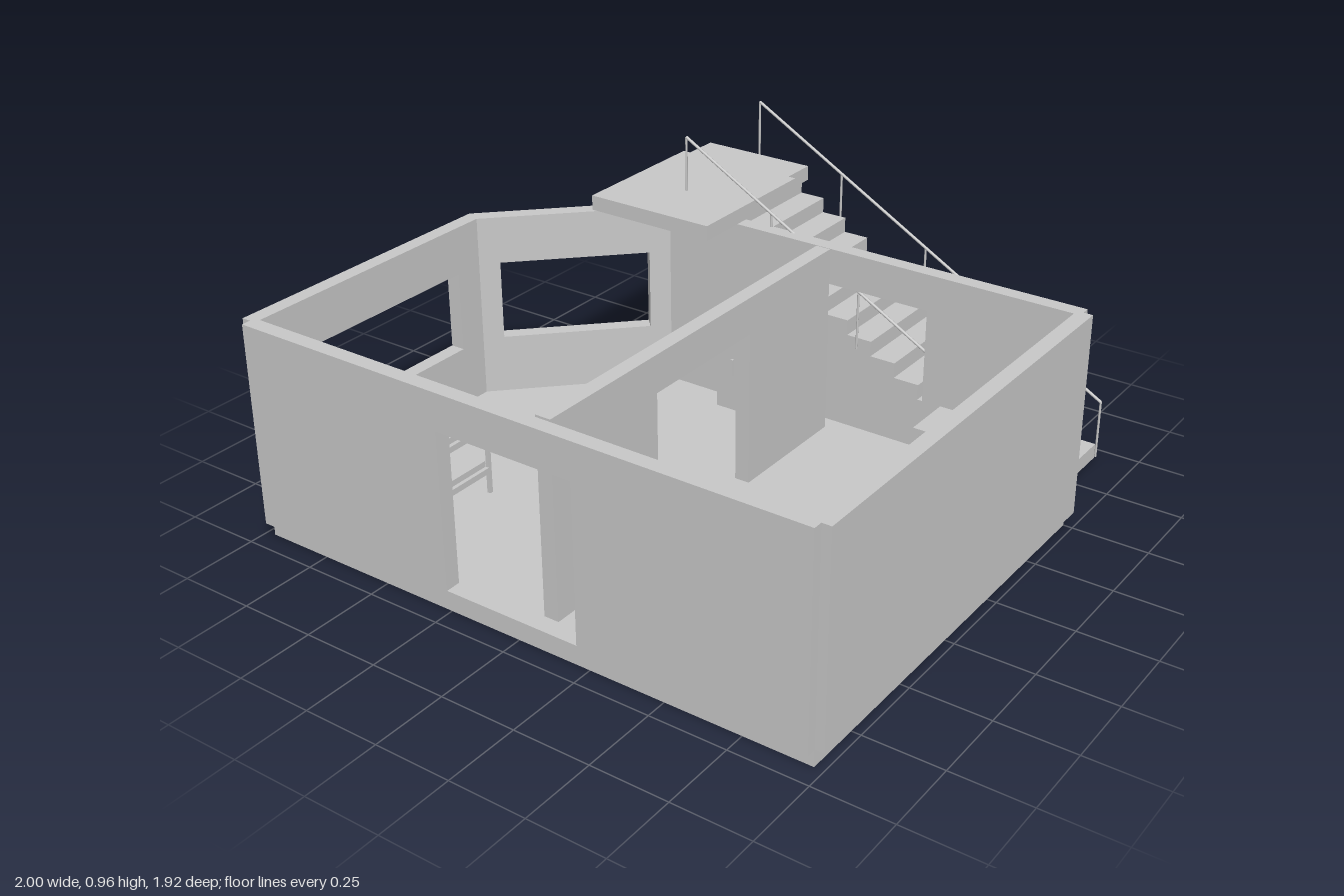
import * as THREE from 'three';

const grey = new THREE.MeshStandardMaterial({ color: 0xc8c8c8 });
grey.name = 'plainGrey';

const FLOOR = 0.09, TOP = 0.72;

export function createModel() {
  const model = new THREE.Group();

  const add = (name, geo, parent = model) => {
    const m = new THREE.Mesh(geo, grey);
    m.name = name;
    parent.add(m);
    return m;
  };
  const group = (name) => {
    const g = new THREE.Group();
    g.name = name;
    model.add(g);
    return g;
  };
  // box given by its min and max corners
  const box = (name, x0, x1, y0, y1, z0, z1, parent) => {
    const m = add(name, new THREE.BoxGeometry(x1 - x0, y1 - y0, z1 - z0), parent);
    m.position.set((x0 + x1) / 2, (y0 + y1) / 2, (z0 + z1) / 2);
  };
  // thin round bar between two points
  const rod = (name, a, b, r, parent) => {
    const p = new THREE.Vector3(...a), q = new THREE.Vector3(...b);
    const m = add(name, new THREE.CylinderGeometry(r, r, p.distanceTo(q), 8), parent);
    m.position.copy(p).add(q).multiplyScalar(0.5);
    m.quaternion.setFromUnitVectors(new THREE.Vector3(0, 1, 0), q.sub(p).normalize());
  };
  const polygon = (pts) => new THREE.Shape(pts.map(([x, y]) => new THREE.Vector2(x, y)));
  const extrude = (shape, depth) => new THREE.ExtrudeGeometry(shape, { depth, bevelEnabled: false });

  // wall from one plan point to another, holes as [u0, u1, y0, y1]
  const wall = (name, [x0, z0], [x1, z1], holes = [], bottom = 0.055) => {
    const len = Math.hypot(x1 - x0, z1 - z0);
    const s = polygon([[0, bottom], [len, bottom], [len, TOP], [0, TOP]]);
    for (const [a, b, c, d] of holes) s.holes.push(polygon([[a, c], [a, d], [b, d], [b, c]]));
    const m = add(name, extrude(s, 0.05));
    m.position.set(x0, 0, z0);
    m.rotation.y = -Math.atan2(z1 - z0, x1 - x0);
  };
  // flat slab from a plan outline
  const slab = (name, plan, y0, y1) => {
    const m = add(name, extrude(polygon(plan.map(([x, z]) => [x, -z])), y1 - y0));
    m.rotation.x = -Math.PI / 2;
    m.position.y = y0;
  };

  // foundation and floor
  slab('foundation', [[-0.97, 0.93], [0.97, 0.93], [0.97, -0.5], [-0.51, -0.5], [-0.97, -0.04]], 0, 0.056);
  slab('floor', [[-0.96, 0.92], [0.96, 0.92], [0.96, -0.49], [-0.5, -0.49], [-0.96, -0.03]], 0.056, FLOOR);

  // walls with doors and windows
  wall('frontWall', [-0.97, 0.91], [0.97, 0.91], [[0.735, 1.2, FLOOR, 0.6]]);
  wall('backWall', [-0.52, -0.528], [0.97, -0.528], [[0.52, 0.99, FLOOR, 0.6]]);
  wall('rightSideWall', [1, -0.5], [1, 0.93]);
  wall('leftSideWall', [-0.95, -0.05], [-0.95, 0.93], [[0.12, 0.93, 0.29, 0.56]]);
  wall('cornerWall', [-1, -0.05], [-0.52, -0.53], [[0.09, 0.585, 0.29, 0.56]]);
  wall('partitionWall', [0.12, -0.475], [0.12, 0.9], [[0.445, 0.91, FLOOR, 0.6]], 0.08);

  // solid outside stair
  const steps = 14, rise = TOP / steps, run = 0.0885, startX = 0.867, endX = -0.465;
  const profile = [[endX, 0], [startX, 0]];
  for (let i = 0; i < steps; i++) {
    const x = startX - i * run;
    profile.push([x, (i + 1) * rise]);
    profile.push([i === steps - 1 ? endX : x - run, (i + 1) * rise]);
  }
  add('stair', extrude(polygon(profile), 0.41)).position.z = -0.942;

  // landing and its post
  slab('landing', [[-0.692, -0.308], [-0.233, -0.308], [-0.233, -0.82], [-0.26, -0.82],
    [-0.26, -0.942], [-0.665, -0.942], [-0.665, -0.82], [-0.692, -0.82]], TOP, 0.77);
  box('landingPost', -0.68, -0.635, 0, TOP, -0.77, -0.725);
  box('postCap', -0.69, -0.62, 0.685, TOP, -0.785, -0.71);

  // stair railings
  for (const z of [-0.522, -0.952]) {
    const rail = group(z > -0.6 ? 'innerRailing' : 'outerRailing');
    const railY = (x) => 0.955 - 0.566 * (x + 0.465);
    rod('handrail', [-0.465, railY(-0.465), z], [0.868, railY(0.868), z], 0.005, rail);
    for (let i = 0; i < 5; i++) {
      const x = -0.465 + i * 0.333;
      rod('railPost', [x, Math.max(0, railY(x) - 0.2), z], [x, railY(x), z], 0.004, rail);
    }
  }

  // wardrobe against the back wall
  const wardrobe = group('wardrobe');
  box('wardrobeBody', -0.255, -0.06, FLOOR, 0.4, -0.48, -0.405, wardrobe);
  for (const s of [-1, 1]) {
    const c = -0.158 + s * 0.05, h = -0.158 + s * 0.033;
    box('wardrobeDoor', c - 0.048, c + 0.048, FLOOR + 0.002, 0.4, -0.405, -0.397, wardrobe);
    box('wardrobeHandle', h - 0.004, h + 0.004, 0.22, 0.28, -0.397, -0.388, wardrobe);
  }

  // low bunk bed
  const bed = group('bunkBed');
  box('headBoard', -0.705, -0.492, FLOOR, 0.375, 0.89, 0.906, bed);
  for (const x of [-0.705, -0.504]) box('bedPost', x, x + 0.012, FLOOR, 0.34, 0.467, 0.479, bed);
  for (const y of [0.18, 0.325]) {
    box('bedFrame', -0.705, -0.492, y - 0.02, y, 0.467, 0.89, bed);
    box('mattress', -0.692, -0.505, y, y + 0.02, 0.48, 0.888, bed);
    box('pillow', -0.677, -0.52, y + 0.02, y + 0.035, 0.785, 0.87, bed);
  }
  for (const x of [-0.68, -0.518]) {
    rod('guardRail', [x, 0.375, 0.535], [x, 0.375, 0.73], 0.004, bed);
    for (const z of [0.539, 0.726]) rod('guardPost', [x, 0.325, z], [x, 0.375, z], 0.004, bed);
  }
  rod('lampArm', [-0.69, 0.36, 0.825], [-0.75, 0.36, 0.825], 0.005, bed);
  box('lampHead', -0.785, -0.735, 0.345, 0.37, 0.816, 0.834, bed);

  // open bookcase by the front wall, with rows of books
  const shelf = group('bookcase');
  for (const x of [0.455, 0.838]) box('shelfSide', x, x + 0.012, FLOOR, 0.49, 0.774, 0.908, shelf);
  box('shelfBack', 0.456, 0.849, FLOOR, 0.489, 0.9, 0.909, shelf);
  for (let i = 0; i < 5; i++) {
    const y = FLOOR + i * 0.097;
    box('shelfBoard', 0.455, 0.85, y, y + 0.012, 0.773, 0.908, shelf);
    if (i === 4) continue;
    for (let k = 0; k < 3; k++) {
      const x = 0.49 + k * 0.12 + (i % 2) * 0.02;
      box('bookRow', x, x + 0.07, y + 0.012, y + 0.07, 0.8, 0.9, shelf);
    }
  }

  // desk with a screen
  const desk = group('desk');
  box('deskTop', 0.535, 0.95, 0.275, 0.29, -0.48, -0.308, desk);
  for (const x of [0.537, 0.933]) box('deskSide', x, x + 0.015, FLOOR, 0.275, -0.48, -0.315, desk);
  box('screen', 0.7, 0.845, 0.315, 0.4, -0.422, -0.412, desk);
  box('screenStand', 0.76, 0.785, 0.29, 0.33, -0.43, -0.422, desk);

  // swivel chair
  const chair = group('chair');
  box('seat', 0.695, 0.83, 0.185, 0.2, -0.24, -0.115, chair);
  box('chairBack', 0.695, 0.83, 0.2, 0.32, -0.125, -0.102, chair);
  for (const x of [0.685, 0.828]) box('armRest', x, x + 0.012, 0.235, 0.245, -0.23, -0.12, chair);
  rod('chairStem', [0.765, 0.11, -0.178], [0.765, 0.185, -0.178], 0.01, chair);
  for (let i = 0; i < 5; i++) {
    const a = i * Math.PI * 0.4, x = 0.765 + 0.083 * Math.cos(a), z = -0.178 + 0.083 * Math.sin(a);
    rod('chairLeg', [0.765, 0.12, -0.178], [x, 0.115, z], 0.006, chair);
    add('caster', new THREE.SphereGeometry(0.013, 10, 8), chair).position.set(x, 0.103, z);
  }

  return model;
}
